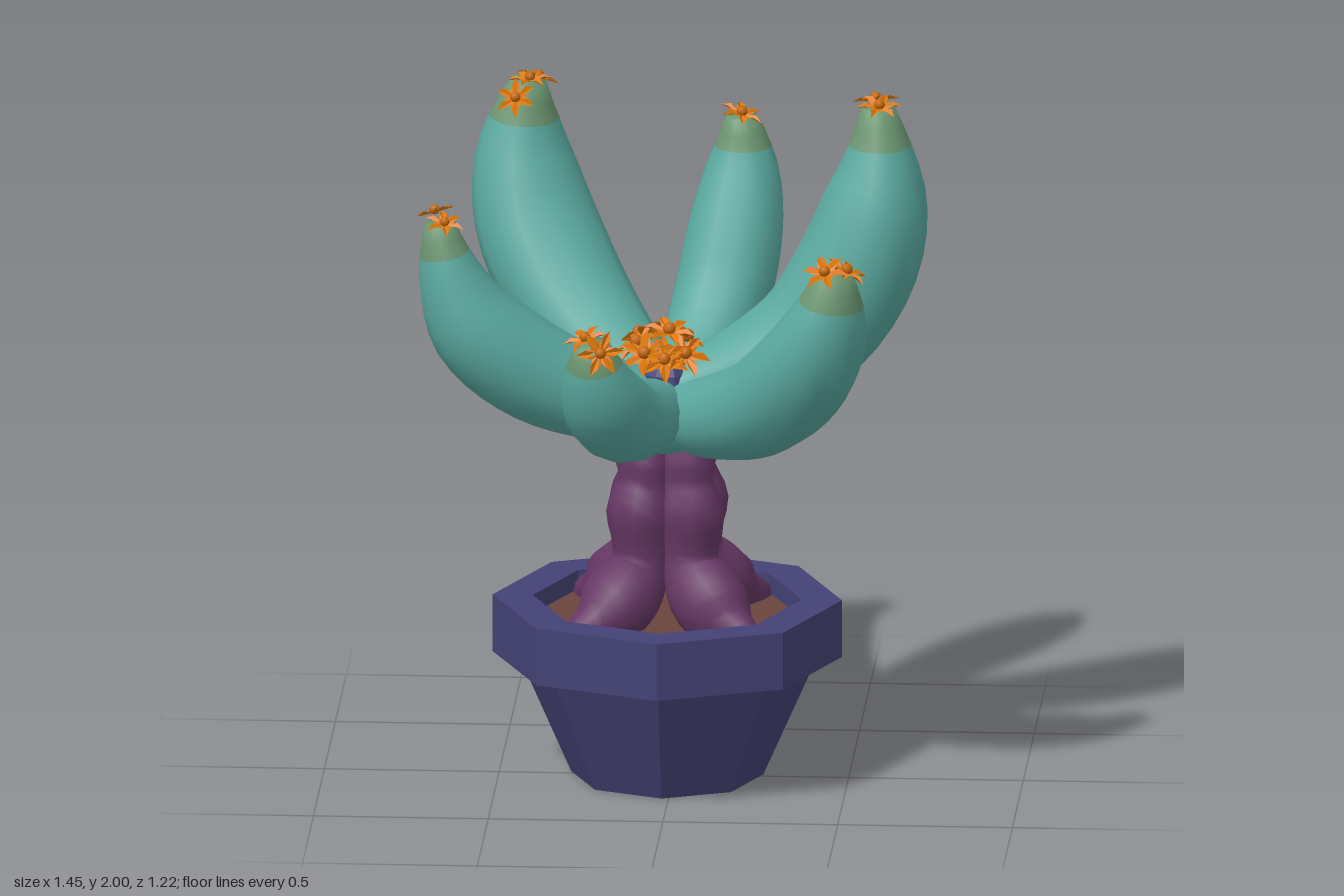
import * as THREE from 'three';

const mat = (name, color, extra = {}) => {
  const m = new THREE.MeshStandardMaterial({ color, ...extra });
  m.name = name;
  return m;
};

// Smooth limb swept in the local xy plane; each point is [reach, height, radius].
// Quads past fraction `split` use the second material slot; `flat` thins the section.
function limb(points, rings, sides, split = 1, flat = 1) {
  const curve = new THREE.CatmullRomCurve3(points.map(p => new THREE.Vector3(...p)));
  const pos = [], idx = [];
  for (let i = 0; i <= rings; i++) {
    const c = curve.getPointAt(i / rings), t = curve.getTangentAt(i / rings);
    const len = Math.hypot(t.x, t.y), nx = -t.y / len, ny = t.x / len;
    for (let j = 0; j < sides; j++) {
      const a = j / sides * Math.PI * 2, k = Math.cos(a) * c.z * flat;
      pos.push(c.x + nx * k, c.y + ny * k, Math.sin(a) * c.z);
    }
  }
  for (let i = 0; i < rings; i++) {
    for (let j = 0; j < sides; j++) {
      const k = (j + 1) % sides, a = i * sides + j, b = i * sides + k;
      idx.push(a, b, a + sides, b, b + sides, a + sides);
    }
  }
  // Rounded end cap
  const end = points[points.length - 1], last = rings * sides;
  pos.push(end[0], end[1], 0);
  for (let j = 0; j < sides; j++) idx.push(last + sides, last + j, last + (j + 1) % sides);
  const g = new THREE.BufferGeometry();
  g.setAttribute('position', new THREE.Float32BufferAttribute(pos, 3));
  g.setIndex(idx);
  g.computeVertexNormals();
  const cut = Math.round(rings * split) * sides * 6;
  g.addGroup(0, cut, 0);
  g.addGroup(cut, idx.length - cut, 1);
  return g;
}

// Six-petalled blossom: narrow base, broad middle, drooping pointed tip
function blossomGeometry() {
  const g = new THREE.CircleGeometry(1, 24).rotateX(-Math.PI / 2);
  const p = g.attributes.position;
  const radius = [0.07, 0.046, 0.028, 0.046], height = [0.002, 0.012, 0.004, 0.012];
  for (let i = 1; i < p.count; i++) {
    const k = (i - 1) % 4;
    p.setXYZ(i, p.getX(i) * radius[k], height[k], p.getZ(i) * radius[k]);
  }
  const flat = g.toNonIndexed();
  flat.computeVertexNormals();
  return flat;
}

export function createModel() {
  const model = new THREE.Group();
  model.name = 'pottedCactus';
  const clay = mat('indigo clay', 0x444275, { flatShading: true });
  const soilMat = mat('brown soil', 0x6a443f);
  const bark = mat('purple bark', 0x673866);
  const flesh = mat('teal flesh', 0x5aa9a0);
  const tipMat = mat('olive tip', 0x6c9672);
  const petal = mat('orange petal', 0xe07a0e, { side: THREE.DoubleSide });
  const heart = mat('dark orange heart', 0xc4680c);

  const add = (name, geometry, material, parent = model) => {
    const m = new THREE.Mesh(geometry, material);
    m.name = name;
    parent.add(m);
    return m;
  };
  const cx = -0.02, cz = -0.02;

  // Octagonal pot with a heavy rim
  const profile = [[0, 0], [0.275, 0], [0.43, 0.352], [0.5, 0.352], [0.5, 0.52], [0.385, 0.52], [0.385, 0.44]];
  const potGeo = new THREE.LatheGeometry(profile.map(p => new THREE.Vector2(...p)), 8).toNonIndexed();
  potGeo.computeVertexNormals();
  add('pot', potGeo, clay).position.set(cx, 0, cz);
  add('soil', new THREE.CylinderGeometry(0.387, 0.387, 0.02, 8), soilMat).position.set(cx, 0.455, cz);

  // Trunk of four fused lobes, each flaring into a root
  const lobe = limb([[0.07, 1.03, 0.06], [0.08, 0.96, 0.076], [0.085, 0.925, 0.084], [0.085, 0.9, 0.073],
    [0.1, 0.8, 0.1], [0.098, 0.72, 0.087], [0.1, 0.645, 0.086], [0.15, 0.575, 0.108], [0.22, 0.52, 0.105],
    [0.29, 0.485, 0.065], [0.34, 0.47, 0.05], [0.38, 0.45, 0.02]], 22, 10);
  for (let i = 0; i < 4; i++) {
    const m = add('trunkLobe', lobe, [bark, bark]);
    m.position.set(cx, 0, cz);
    m.rotation.y = Math.PI / 4 + i * Math.PI / 2;
  }

  // Crown joining the arms, with a coloured bud in the middle
  const crown = add('crown', new THREE.SphereGeometry(0.2, 16, 10), flesh);
  crown.scale.y = 0.6;
  crown.position.set(cx, 1.075, cz);
  const bud = add('crownBud', new THREE.SphereGeometry(0.095, 10, 8), clay);
  bud.position.set(cx, 1.165, 0);

  // Arms: tip x and z, then [reach, height, radius] from crown to tip
  const arms = [
    ['leftArm', 0.58, -0.07, [[0, 1.12, 0.1], [0.2, 1.175, 0.15], [0.4, 1.3, 0.18], [0.53, 1.5, 0.187],
      [0.585, 1.7, 0.158], [0.595, 1.85, 0.1], [0.59, 1.97, 0.05]]],
    ['frontLeftArm', 0.49, 0.48, [[0, 1.08, 0.09], [0.2, 1.1, 0.13], [0.42, 1.19, 0.155], [0.59, 1.35, 0.15],
      [0.665, 1.5, 0.112], [0.69, 1.63, 0.055]]],
    ['frontArm', -0.2, 0.53, [[0, 1.1, 0.08], [0.2, 1.11, 0.12], [0.36, 1.15, 0.135], [0.48, 1.24, 0.125],
      [0.54, 1.34, 0.088], [0.56, 1.42, 0.05]]],
    ['rightArm', -0.66, 0.155, [[0, 1.1, 0.09], [0.2, 1.13, 0.135], [0.4, 1.215, 0.155], [0.57, 1.355, 0.145],
      [0.645, 1.5, 0.102], [0.67, 1.59, 0.074], [0.68, 1.67, 0.045]]],
    ['backRightArm', -0.445, -0.465, [[0, 1.1, 0.09], [0.2, 1.17, 0.14], [0.42, 1.31, 0.175], [0.58, 1.5, 0.18],
      [0.64, 1.68, 0.15], [0.64, 1.81, 0.105], [0.62, 1.92, 0.055]]],
    ['backArm', 0.165, -0.455, [[0, 1.1, 0.09], [0.2, 1.19, 0.12], [0.35, 1.33, 0.142], [0.435, 1.5, 0.14],
      [0.48, 1.65, 0.115], [0.485, 1.75, 0.08], [0.475, 1.83, 0.045]]],
  ];
  for (const [name, x, z, path] of arms) {
    const dx = x - cx, dz = z - cz / 2, k = Math.hypot(dx, dz) / path[path.length - 1][0];
    const geo = limb(path.map(([r, y, w]) => [r * k, y, w]), 20, 14, 0.9, 0.94);
    const m = add(name, geo, [flesh, tipMat]);
    m.position.set(cx, 0, cz / 2);
    m.rotation.y = Math.atan2(-dz, dx);
  }

  // Blossoms: position, lean of the face in x and z, size
  const blossoms = [
    [0.57, 1.975, -0.125, -0.1, -0.3, 0.95], [0.585, 1.98, -0.035, 0.1, 0.3, 0.95],
    [0.52, 1.63, 0.465, 0.5, 0.1, 1], [0.465, 1.64, 0.52, -0.2, 0.6, 1],
    [-0.22, 1.43, 0.515, -0.3, 0.3, 0.95], [-0.175, 1.405, 0.57, 0.3, 2.5, 1],
    [-0.675, 1.69, 0.12, -0.3, -0.3, 0.85], [-0.645, 1.675, 0.19, 0.1, 0.4, 0.85],
    [-0.42, 1.92, -0.5, 0.3, -0.3, 0.9], [-0.44, 1.93, -0.445, 0, 0.1, 0.9], [-0.475, 1.89, -0.385, -0.4, 1.2, 0.9],
    [0.165, 1.838, -0.445, 0.3, 0.2, 0.95],
    [-0.1, 1.28, -0.075, -0.6, -0.5, 1.15], [-0.03, 1.29, -0.09, 0, -0.6, 1.1], [0.03, 1.28, -0.05, 0.6, -0.4, 1.15],
    [-0.1, 1.28, 0.01, -0.7, 0.3, 1.1], [-0.01, 1.33, 0.06, 0.1, 0.3, 1.1],
    [0.035, 1.27, 0.085, 0.5, 0.8, 1.15], [-0.075, 1.27, 0.09, -0.5, 0.9, 1.15], [-0.02, 1.26, 0.11, 0, 1.3, 1.1],
  ];
  const petals = blossomGeometry(), centre = new THREE.SphereGeometry(0.017, 8, 6);
  const up = new THREE.Vector3(0, 1, 0);
  blossoms.forEach(([x, y, z, nx, nz, size], i) => {
    const g = new THREE.Group();
    g.name = 'blossom';
    g.position.set(x, y, z);
    g.quaternion.setFromUnitVectors(up, new THREE.Vector3(nx, 1, nz).normalize());
    g.scale.setScalar(size);
    add('petals', petals, petal, g).rotation.y = i * 1.3;
    add('heart', centre, heart, g).position.y = 0.01;
    model.add(g);
  });
  return model;
}
